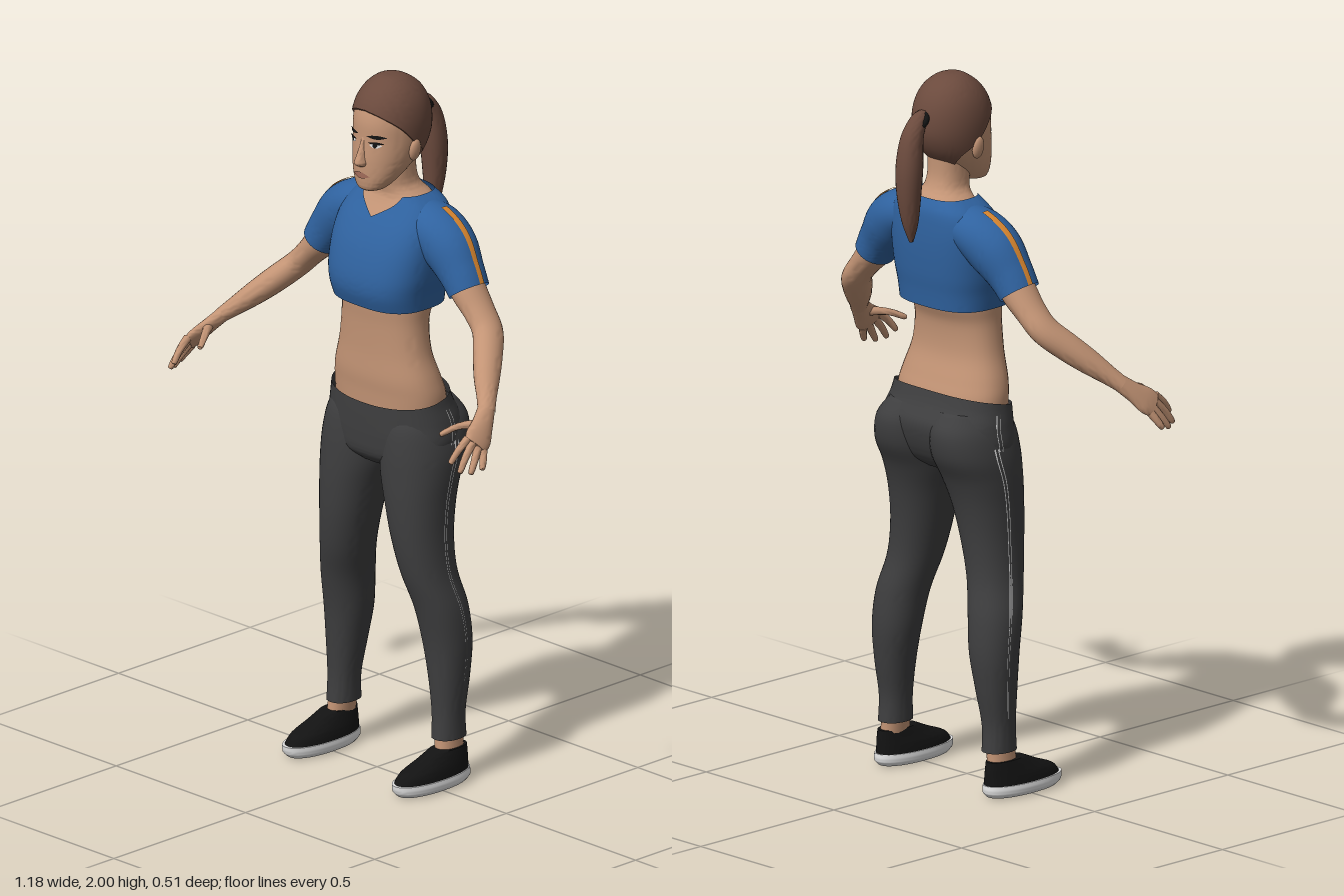
import * as THREE from 'three';
import { mergeVertices, toCreasedNormals } from 'three/addons/utils/BufferGeometryUtils.js';

const V = (x, y, z) => new THREE.Vector3(x, y, z);
const lerp = THREE.MathUtils.lerp;

function material(name, color, side = THREE.FrontSide) {
  const m = new THREE.MeshStandardMaterial({ color, side });
  m.name = name;
  return m;
}

// Smooth interpolation through rows of numbers, t in 0..1
function sample(rows, t) {
  const s = THREE.MathUtils.clamp(t, 0, 1) * (rows.length - 1);
  const i = Math.min(Math.floor(s), rows.length - 2), f = s - i;
  const r = k => rows[THREE.MathUtils.clamp(k, 0, rows.length - 1)];
  return rows[0].map((_, c) => {
    const a = r(i - 1)[c], b = r(i)[c], d = r(i + 1)[c], e = r(i + 2)[c];
    return b + 0.5 * f * (d - a + f * (2 * a - 5 * b + 4 * d - e + f * (3 * (b - d) + e - a)));
  });
}

// Rounded section: n = 2 is an ellipse, higher is boxier
function section(a, n) {
  const s = Math.sin(a), c = Math.cos(a);
  const r = Math.pow(Math.abs(s) ** n + Math.abs(c) ** n, -1 / n);
  return [s * r, c * r];
}

// Body surface from level sections [y, x0, x1, z0, z1], rising in y; a = 0 faces front
function levels(rows, n = 2.2) {
  const surf = (t, a, off = 0) => {
    const [y, x0, x1, z0, z1] = sample(rows, t), [s, c] = section(a, n);
    return V((x0 + x1) / 2 + s * (Math.max(0, x1 - x0) / 2 + off), y, (z0 + z1) / 2 + c * (Math.max(0, z1 - z0) / 2 + off));
  };
  surf.at = y => {
    let lo = 0, hi = 1;
    for (let k = 0; k < 24; k++) {
      const m = (lo + hi) / 2;
      if (sample(rows, m)[0] < y) lo = m; else hi = m;
    }
    return lo;
  };
  return surf;
}
const centred = rows => rows.map(([y, w, z0, z1]) => [y, -w, w, z0, z1]);

// Limb surface from sections [x, y, z, ra, rb] square to the path
function limb(rows, n = 2) {
  const at = t => V(...sample(rows, t).slice(0, 3));
  return (t, a, off = 0) => {
    const [x, y, z, ra, rb] = sample(rows, t), [s, c] = section(a, n);
    const T = at(t + 0.02).sub(at(t - 0.02)).normalize();
    const B = V(0, 0, 1).addScaledVector(T, -T.z).normalize();
    const A = T.clone().cross(B);
    return V(x, y, z).addScaledVector(A, s * (ra + off)).addScaledVector(B, c * (rb + off));
  };
}

// Grid surface from f(u, v), with optional end caps
function sheet(f, nu, nv, cap) {
  const p = [], idx = [], w = nu + 1;
  for (let j = 0; j <= nv; j++) for (let i = 0; i <= nu; i++) p.push(...f(i / nu, j / nv).toArray());
  for (let j = 0; j < nv; j++) for (let i = 0; i < nu; i++) {
    const k = j * w + i;
    idx.push(k, k + 1, k + w + 1, k, k + w + 1, k + w);
  }
  if (cap) for (const j of [0, nv]) {
    const c = V(0, 0, 0);
    for (let i = 0; i < nu; i++) c.add(V(...p.slice((j * w + i) * 3, (j * w + i) * 3 + 3)));
    p.push(...c.divideScalar(nu).toArray());
    for (let i = 0; i < nu; i++) {
      const k = j * w + i, m = p.length / 3 - 1;
      idx.push(m, ...(j ? [k, k + 1] : [k + 1, k]));
    }
  }
  const g = new THREE.BufferGeometry();
  g.setAttribute('position', new THREE.Float32BufferAttribute(p, 3));
  g.setIndex(idx);
  return toCreasedNormals(mergeVertices(g, 1e-5), 1);
}

const around = (surf, t0 = () => 0, t1 = () => 1, off = 0) => (u, v) => {
  const a = (u * 2 - 1) * Math.PI;
  return surf(lerp(t0(a), t1(a), v), a, off);
};
// Almond-shaped plate and straight ribbon lying on a surface
const lens = (surf, a, y, da, dy, off) => (u, v) =>
  surf(surf.at(y + (v * 2 - 1) * dy * Math.sin(Math.PI * u)), a + (u * 2 - 1) * da, off);
const ribbon = (surf, a0, a1, t0, t1, off) => (u, v) => surf(lerp(t0, t1, v), lerp(a0, a1, u), off);

export function createModel() {
  const model = new THREE.Group();
  model.name = 'woman';
  const skin = material('skin', 0xc39475), hair = material('hair', 0x6b4a3d, THREE.DoubleSide);
  const blue = material('shirt blue', 0x2f629f, THREE.DoubleSide), orange = material('stripe orange', 0xd8862f, THREE.DoubleSide);
  const charcoal = material('leggings charcoal', 0x3e3e3f, THREE.DoubleSide), white = material('white', 0xe2e2e2, THREE.DoubleSide);
  const black = material('black', 0x131313), lip = material('lips', 0xa26c5a);

  const add = (name, mat, f, nu = 40, nv = 32, cap = false) => {
    const m = new THREE.Mesh(sheet(f, nu, nv, cap), mat);
    m.name = name;
    model.add(m);
  };
  const pair = (name, mat, f, ...rest) => {
    add('left ' + name, mat, f, ...rest);
    add('right ' + name, mat, (u, v) => f(1 - u, v).multiply(V(-1, 1, 1)), ...rest);
  };

  // Waist, neck and upper chest
  add('waist', skin, around(levels(centred([
    [1.04, .18, -.155, .045], [1.1, .182, -.15, .048], [1.15, .172, -.135, .052], [1.22, .15, -.116, .051],
    [1.3, .138, -.117, .053], [1.35, .138, -.135, .057], [1.4, .14, -.15, .06]]), 2.3)));
  add('neck', skin, around(levels(centred([
    [1.56, .155, -.172, .035], [1.6, .148, -.17, .012], [1.63, .13, -.165, -.008], [1.655, .09, -.155, -.02],
    [1.68, .061, -.136, -.018], [1.72, .054, -.125, -.012], [1.79, .054, -.125, -.01]]), 2.3)), 48);

  // Cropped shirt with a V neckline
  const chest = levels(centred([
    [1.355, .152, -.165, .074], [1.4, .158, -.17, .088], [1.45, .166, -.177, .086], [1.52, .17, -.182, .066],
    [1.58, .166, -.182, .036], [1.63, .142, -.177, .002], [1.662, .095, -.16, -.016]]), 2.8);
  const neckline = a => chest.at(1.662 - (Math.cos(a) > 0 ? .062 * Math.max(0, 1 - Math.abs(Math.sin(a)) * 1.5) : 0));
  add('shirt body', blue, around(chest, () => 0, neckline), 72, 32);
  const sleeve = limb([[.06, 1.59, -.09, .06, .07], [.14, 1.575, -.087, .07, .08], [.2, 1.535, -.082, .077, .076],
    [.25, 1.48, -.076, .064, .064], [.282, 1.435, -.073, .055, .06]]);
  pair('sleeve', blue, around(sleeve));
  pair('shoulder stripe', orange, ribbon(sleeve, -1.75, -1.5, .25, 1, .003), 4, 24);

  // Arms, palms and fingers
  pair('arm', skin, around(limb([[.23, 1.5, -.077, .05, .052], [.28, 1.435, -.073, .046, .052], [.325, 1.387, -.07, .038, .047],
    [.367, 1.343, -.06, .036, .045], [.41, 1.297, -.018, .036, .042], [.45, 1.255, .025, .032, .037],
    [.488, 1.217, .063, .025, .028], [.515, 1.19, .09, .02, .025]])), 24, 32);
  pair('palm', skin, around(limb([[.508, 1.197, .083, .02, .025], [.53, 1.165, .12, .018, .032],
    [.545, 1.14, .15, .016, .041], [.554, 1.124, .172, .012, .037]])), 20, 12, true);
  const fingers = {
    'index finger': [[.541, 1.146, .188], [.539, 1.118, .222], [.535, 1.09, .245]],
    'middle finger': [[.55, 1.133, .178], [.556, 1.098, .212], [.56, 1.067, .234]],
    'ring finger': [[.557, 1.119, .164], [.568, 1.087, .188], [.574, 1.06, .207]],
    'little finger': [[.563, 1.108, .15], [.576, 1.085, .163], [.584, 1.066, .174]],
    thumb: [[.525, 1.168, .125], [.49, 1.164, .172], [.467, 1.146, .213]],
  };
  for (const [name, [a, b, c]] of Object.entries(fingers)) {
    const tip = c.map((v, i) => v + (v - b[i]) * .12);
    const thick = name === 'thumb' ? 1.2 : 1;
    pair(name, skin, around(limb([[...a, .011 * thick, .012 * thick], [...b, .0095, .0105], [...c, .0075, .008], [...tip, .002, .002]])), 10, 9, true);
  }

  // Leggings: hips with a sloping waistband, and legs
  const hips = levels(centred([[.89, .1, -.12, .02], [.92, .185, -.16, .05], [.97, .212, -.186, .057],
    [1.03, .206, -.196, .058], [1.08, .194, -.172, .057], [1.13, .186, -.156, .056]]), 2.3);
  add('hips', charcoal, around(hips, () => 0, a => hips.at(1.095 - .024 * Math.cos(a))), 56, 32);
  const leg = levels([[.125, .163, .243, -.125, -.022], [.2, .16, .243, -.122, -.026], [.3, .145, .25, -.138, -.021],
    [.4, .125, .255, -.148, -.012], [.5, .11, .249, -.141, .008], [.6, .085, .226, -.123, .036], [.7, .06, .216, -.125, .052],
    [.8, .035, .216, -.14, .058], [.88, .012, .219, -.165, .058], [.95, .004, .217, -.2, .055],
    [1.02, .01, .2, -.206, .045], [1.07, .03, .165, -.175, .02]], 2.2);
  pair('legging', charcoal, around(leg), 40, 56, true);
  for (const [line, a] of [['front', 1.63], ['rear', 1.72]]) {
    pair(line + ' leg stripe', white, ribbon(leg, a, a + .04, leg.at(.22), leg.at(.98), .003), 1, 48);
    pair(line + ' hip stripe', white, ribbon(hips, a - .03, a + .01, hips.at(.97), hips.at(1.07), .004), 1, 12);
  }

  // Ankles and slip-on shoes
  pair('ankle', skin, around(levels([[.06, .182, .24, -.12, -.02], [.1, .178, .238, -.115, -.025], [.16, .172, .235, -.115, -.03]])), 20, 8);
  pair('shoe upper', black, around(levels([[.028, .158, .265, -.128, .133], [.055, .163, .26, -.127, .112],
    [.078, .172, .252, -.126, .055], [.1, .18, .244, -.124, .005]])), 36, 14, true);
  pair('shoe sole', white, around(levels([[0, .164, .26, -.12, .122], [.014, .155, .27, -.132, .136], [.034, .156, .268, -.131, .139]])), 36, 8, true);
  for (const [name, z0, z1, w] of [['heel', -.105, -.04, .03], ['toe', .0, .1, .036]])
    pair(name + ' tread', black, around(levels([[-.002, .212 - w, .212 + w, z0, z1], [.002, .212 - w, .212 + w, z0, z1]])), 24, 1, true);

  // Head, ears and nose
  const head = levels(centred([[1.682, .02, .01, .045], [1.69, .04, -.02, .056], [1.71, .058, -.05, .06], [1.74, .074, -.09, .061],
    [1.78, .087, -.135, .06], [1.83, .095, -.16, .055], [1.88, .096, -.163, .052], [1.925, .087, -.152, .038],
    [1.96, .068, -.13, .014], [1.983, .043, -.1, -.015], [1.993, .02, -.075, -.035], [1.995, 0, -.055, -.055]]), 2.1);
  add('head', skin, around(head), 56, 56, true);
  for (const [side, s] of [['left', 1], ['right', -1]]) {
    const ear = new THREE.Mesh(new THREE.SphereGeometry(1, 16, 12), skin);
    ear.name = side + ' ear';
    ear.scale.set(.012, .032, .019);
    ear.position.set(s * .096, 1.8, -.05);
    ear.rotation.z = -s * .15;
    model.add(ear);
  }
  add('nose', skin, around(levels(centred([[1.754, .006, .03, .062], [1.759, .015, .03, .074], [1.768, .017, .03, .083],
    [1.785, .012, .03, .077], [1.81, .009, .03, .066], [1.84, .008, .03, .054]]))), 20, 16, true);

  // Eyes, brows and mouth
  pair('eye', white, lens(head, .45, 1.822, .19, .007, .002), 12, 4);
  pair('iris', black, lens(head, .44, 1.822, .075, .0065, .0035), 10, 4);
  pair('eyelash', black, lens(head, .46, 1.829, .24, .004, .004), 12, 2);
  pair('eyebrow', black, lens(head, .46, 1.846, .3, .0055, .003), 12, 2);
  add('lips', lip, lens(head, 0, 1.731, .42, .009, .003), 16, 4);

  // Swept-back hair, ponytail and hair tie
  const hairline = a => {
    const d = Math.abs(a) / Math.PI;
    return head.at(sample([[1.915], [1.905], [1.875], [1.82], [1.785], [1.745], [1.735]], d)[0]);
  };
  add('hair', hair, around(head, hairline, () => 1, .006), 64, 28, true);
  add('ponytail', hair, around(levels(centred([[1.545, .005, -.215, -.203], [1.6, .022, -.235, -.192], [1.68, .033, -.25, -.186],
    [1.76, .037, -.252, -.18], [1.84, .031, -.236, -.176], [1.89, .022, -.205, -.155], [1.908, .008, -.18, -.155]]))), 24, 32, true);
  const tie = new THREE.Mesh(new THREE.TorusGeometry(.022, .009, 10, 24), black);
  tie.name = 'hair tie';
  tie.position.set(0, 1.882, -.178);
  tie.rotation.x = .7;
  model.add(tie);

  return model;
}
